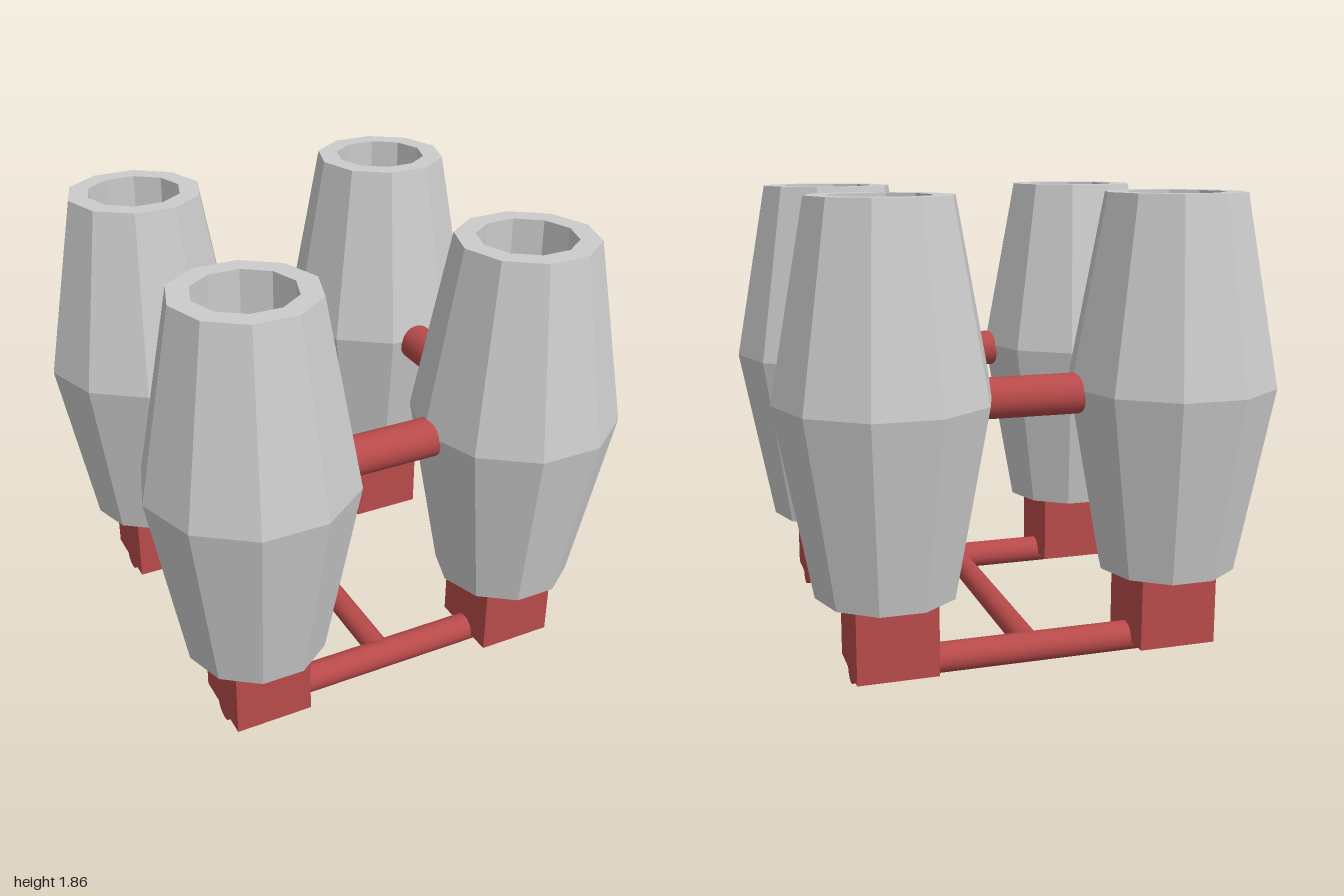
import * as THREE from 'three';

export function createModel() {
  const group = new THREE.Group();
  const grey = new THREE.MeshStandardMaterial({ color: 0xcccccc, flatShading: true });
  const red = new THREE.MeshStandardMaterial({ color: 0xb84a4a });
  const C = 0.58; // distance of every pod from the middle, along x and z

  function add(geometry, material, name, x, y, z) {
    const mesh = new THREE.Mesh(geometry, material);
    mesh.name = name;
    mesh.position.set(x, y, z);
    group.add(mesh);
    return mesh;
  }

  // Round bar lying along x or z
  function bar(name, radius, length, axis, x, y, z) {
    const mesh = add(new THREE.CylinderGeometry(radius, radius, length, 32), red, name, x, y, z);
    if (axis === 'x') mesh.rotation.z = Math.PI / 2;
    else mesh.rotation.x = Math.PI / 2;
  }

  // Ten-sided barrel, widest in the middle, with a recess in the top
  const profile = [
    [0, 0.36], [0.28, 0.36], [0.42, 1.11], [0.28, 1.86], [0.195, 1.86], [0.195, 1.6], [0, 1.6],
  ].map(([r, y]) => new THREE.Vector2(r, y));
  const barrel = new THREE.LatheGeometry(profile, 10, Math.PI / 2);
  const foot = new THREE.BoxGeometry(0.32, 0.305, 0.32);

  for (const sx of [-1, 1]) {
    for (const sz of [-1, 1]) {
      add(barrel, grey, 'barrel', sx * C, 0, sz * C);
      add(foot, red, 'foot', sx * (C - 0.005), 0.2075, sz * C);
    }
  }

  // Bars joining the barrels at mid height, and the two base rails
  for (const s of [-1, 1]) {
    bar('upperCrossBar', 0.08, 0.6, 'x', 0, 1.09, s * C);
    bar('upperSideBar', 0.08, 0.6, 'z', s * (C - 0.005), 1.09, 0);
    bar('baseRail', 0.06, 1.46, 'x', 0, 0.06, s * C);
  }

  // Middle bar joining the base rails
  bar('baseLink', 0.05, 2 * C, 'z', 0, 0.065, 0);

  return group;
}
